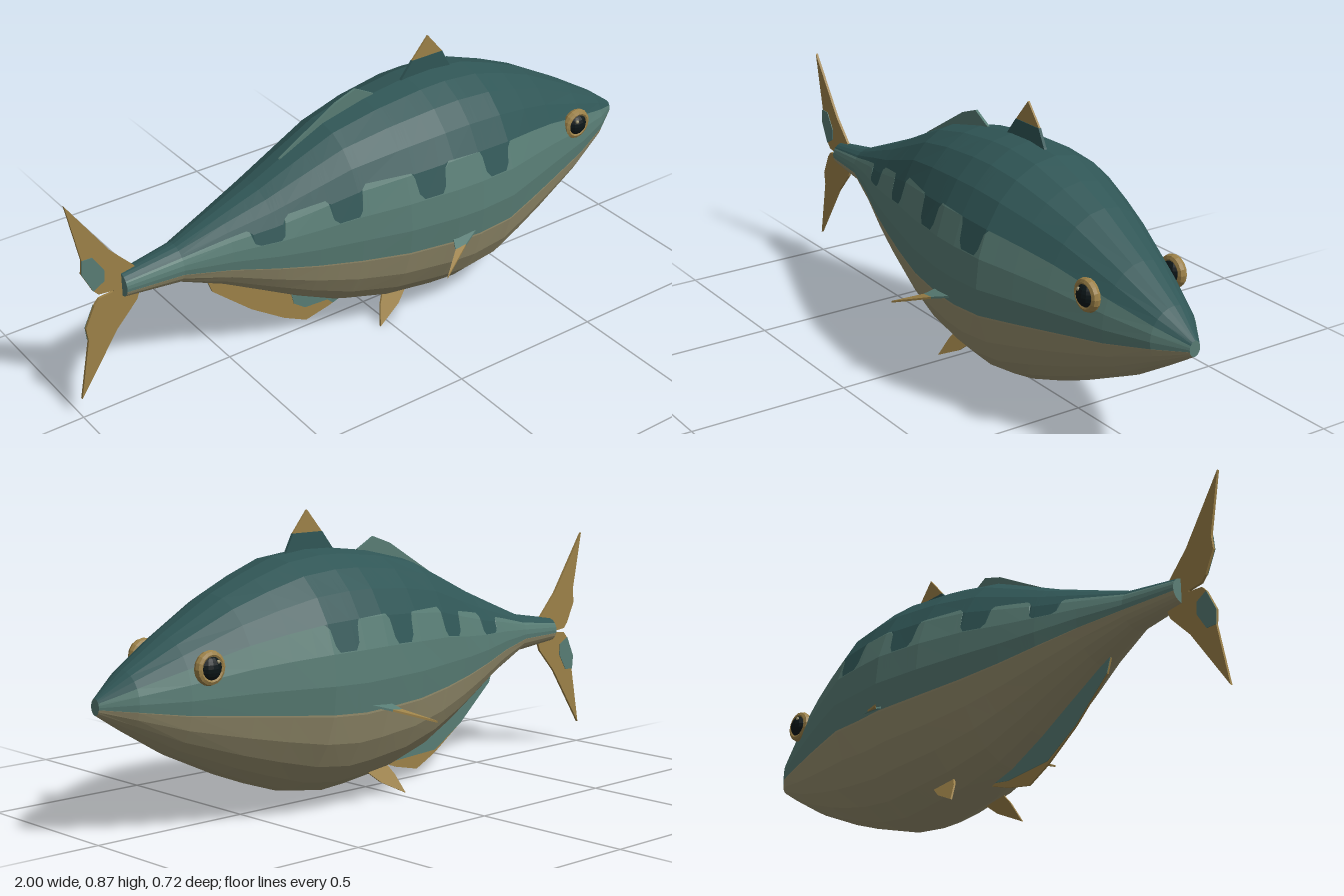
import * as THREE from 'three';

const mat = (name, color) => {
  const m = new THREE.MeshStandardMaterial({ color, flatShading: true, side: THREE.DoubleSide });
  m.name = name;
  return m;
};

// Body stations: x, top y, bottom y, half width
const RINGS = [
  [-0.845, 0.444, 0.368, 0.036], [-0.67, 0.474, 0.352, 0.058], [-0.53, 0.53, 0.292, 0.1],
  [-0.4, 0.583, 0.222, 0.143], [-0.28, 0.64, 0.156, 0.177], [-0.15, 0.7, 0.095, 0.212],
  [0, 0.735, 0.056, 0.25], [0.16, 0.755, 0.039, 0.276], [0.25, 0.757, 0.033, 0.278],
  [0.37, 0.744, 0.052, 0.273], [0.49, 0.703, 0.093, 0.235], [0.6, 0.657, 0.137, 0.198],
  [0.775, 0.56, 0.22, 0.137], [0.91, 0.476, 0.303, 0.08], [1, 0.408, 0.361, 0.018],
];

// Lower edge of the dark back, as [x, degrees from the top], with four notches
const EDGE = [[-0.845, 52], [-0.67, 52]];
for (const [c, a] of [[-0.42, 53], [-0.187, 56], [0.078, 59], [0.315, 60]]) {
  EDGE.push([c - 0.06, a], [c - 0.052, a + 3], [c - 0.045, 71], [c - 0.03, 74.5],
    [c + 0.03, 74.5], [c + 0.042, 71], [c + 0.05, a + 3], [c + 0.064, a]);
}
EDGE.push([0.42, 60], [1, 60]);
const BELLY_EDGE = 104;

// Linear lookup in a table sorted by its first column
function lookup(table, x) {
  let i = 0;
  while (i < table.length - 2 && x > table[i + 1][0]) i++;
  const a = table[i], b = table[i + 1];
  const f = THREE.MathUtils.clamp((x - a[0]) / (b[0] - a[0]), 0, 1);
  return a.map((v, k) => v + (b[k] - v) * f);
}

// Point on the 24-sided body skin
function skin(x, deg, side) {
  const [, top, bottom, w] = lookup(RINGS, x);
  const k = Math.min(11, Math.floor(deg / 15)), f = deg / 15 - k;
  const a = k * Math.PI / 12, b = (k + 1) * Math.PI / 12;
  const c = Math.cos(a) * (1 - f) + Math.cos(b) * f;
  const s = Math.sin(a) * (1 - f) + Math.sin(b) * f;
  return [x, (top + bottom) / 2 + (top - bottom) / 2 * c, side * w * s];
}

// One colour band of the skin between two angle functions of x
function bodyBand(lo, hi) {
  const xs = [...new Set([...RINGS, ...EDGE].map(r => r[0]))].sort((a, b) => a - b);
  const pos = [];
  const clampAt = (k, x) => THREE.MathUtils.clamp(k * 15, lo(x), hi(x));
  for (const side of [1, -1]) {
    for (let i = 0; i < xs.length - 1; i++) {
      for (let k = 0; k < 12; k++) {
        const [x0, x1] = [xs[i], xs[i + 1]];
        const a0 = clampAt(k, x0), b0 = clampAt(k + 1, x0);
        const a1 = clampAt(k, x1), b1 = clampAt(k + 1, x1);
        const a = skin(x0, a0, side), b = skin(x0, b0, side);
        const c = skin(x1, b1, side), d = skin(x1, a1, side);
        if (b0 - a0 > 1e-4) pos.push(...(side > 0 ? [a, b, d] : [a, d, b]).flat());
        if (b1 - a1 > 1e-4) pos.push(...(side > 0 ? [b, c, d] : [b, d, c]).flat());
      }
    }
  }
  const g = new THREE.BufferGeometry();
  g.setAttribute('position', new THREE.Float32BufferAttribute(pos, 3));
  g.computeVertexNormals();
  return g;
}

// Flat plate from an outline, occupying z0..z0+depth
function plate(points, depth, z0 = -depth / 2) {
  const shape = new THREE.Shape(points.map(p => new THREE.Vector2(...p)));
  return new THREE.ExtrudeGeometry(shape, { depth, bevelEnabled: false }).translate(0, 0, z0);
}

// Move every vertex by a rule
function bend(g, rule) {
  const p = g.attributes.position;
  for (let i = 0; i < p.count; i++) p.setXYZ(i, ...rule(p.getX(i), p.getY(i), p.getZ(i)));
  g.computeVertexNormals();
  return g;
}

export function createModel() {
  const root = new THREE.Group();
  root.name = 'fish';
  const back = mat('back teal', 0x305656);
  const flank = mat('flank teal', 0x587c74);
  const belly = mat('belly beige', 0x98906f);
  const gold = mat('fin gold', 0x9c8148);
  const dark = mat('eye black', 0x0c1618);
  const add = (name, g, m, parent = root) => {
    const mesh = new THREE.Mesh(g, m);
    mesh.name = name;
    parent.add(mesh);
    return mesh;
  };

  // Body in three colour bands, with end caps
  const edge = x => lookup(EDGE, x)[1];
  add('bodyBack', bodyBand(() => 0, edge), back);
  add('bodyFlank', bodyBand(edge, () => BELLY_EDGE), flank);
  add('bodyBelly', bodyBand(() => BELLY_EDGE, () => 180), belly);
  for (const [name, r, dir] of [['noseTip', RINGS[RINGS.length - 1], 1], ['tailStump', RINGS[0], -1]]) {
    const cap = new THREE.CircleGeometry(1, 24).rotateY(dir * Math.PI / 2);
    cap.scale(1, (r[1] - r[2]) / 2, r[3]).translate(r[0], (r[1] + r[2]) / 2, 0);
    add(name, cap, flank);
  }

  // Dorsal fins
  add('firstDorsalBase', plate([[0.12, 0.73], [0.34, 0.73], [0.32, 0.753], [0.293, 0.805], [0.18, 0.805], [0.14, 0.755]], 0.009), back);
  add('firstDorsalTip', plate([[0.18, 0.805], [0.293, 0.805], [0.238, 0.872]], 0.006), gold);
  add('secondDorsal', plate([[-0.33, 0.6], [0, 0.7], [0.035, 0.74], [-0.03, 0.775], [-0.1, 0.75], [-0.3, 0.632]], 0.008), flank);

  // Anal fin, painted differently on each side
  add('analFin', plate([[-0.57, 0.32], [-0.55, 0.262], [-0.417, 0.145], [-0.3, 0.065], [-0.22, 0.025],
    [-0.13, 0.045], [-0.02, 0.085], [-0.1, 0.18], [-0.4, 0.3]], 0.006), gold);
  add('analFinLeftPatch', plate([[-0.28, 0.17], [-0.265, 0.105], [-0.225, 0.075], [-0.14, 0.07],
    [-0.12, 0.05], [-0.02, 0.086], [-0.1, 0.18]], 0.002, 0.003), flank);
  add('analFinRightPatch', plate([[-0.57, 0.32], [-0.55, 0.263], [-0.417, 0.146], [-0.3, 0.075],
    [-0.13, 0.066], [-0.02, 0.086], [-0.1, 0.18], [-0.4, 0.3]], 0.002, -0.005), flank);

  // Tail fin: two mirrored lobes, a patch on the left of one and the right of the other
  const lobe = [[-0.78, 0.4], [-0.8, 0.452], [-0.87, 0.527], [-1, 0.72], [-0.963, 0.53],
    [-0.968, 0.487], [-0.936, 0.42], [-0.92, 0.402], [-0.872, 0.397]];
  const patch = [[-0.964, 0.531], [-0.93, 0.53], [-0.897, 0.476], [-0.9, 0.44], [-0.936, 0.42], [-0.968, 0.487]];
  const flip = pts => pts.map(([x, y]) => [x, 0.79 - y]);
  add('tailUpperLobe', plate(lobe, 0.008), gold);
  add('tailLowerLobe', plate(flip(lobe), 0.008), gold);
  add('tailRoot', plate([[-0.78, 0.37], [-0.78, 0.42], [-0.872, 0.42], [-0.872, 0.37]], 0.008), gold);
  add('tailLeftPatch', plate(patch, 0.002, 0.004), flank);
  add('tailRightPatch', plate(flip(patch), 0.002, -0.006), flank);

  for (const side of [1, -1]) {
    const tag = side > 0 ? 'left' : 'right';

    // Pectoral fins slope outwards and back
    const pectoral = pts => bend(
      plate(pts.map(([x, z]) => [x, z * side]), 0.006).rotateX(Math.PI / 2),
      (x, y, z) => [x, y + 0.325 - 0.45 * (Math.abs(z) - 0.27) + 0.1 * (x - 0.25), z]);
    add(tag + 'PectoralBase', pectoral([[0.26, 0.255], [0.15, 0.255], [0.13, 0.295], [0.17, 0.295]]), flank);
    add(tag + 'PectoralTip', pectoral([[0.17, 0.295], [0.13, 0.295], [0.05, 0.358]]), gold);

    // Pelvic fins hang below the belly
    add(tag + 'PelvicFin', bend(
      plate([[-0.035, 0.002], [-0.015, 0.06], [0.01, 0.1], [0.1, 0.1], [0.09, 0.08], [0.05, 0.045]], 0.006),
      (x, y, z) => [x, y, z + side * (0.14 - 0.5 * y)]), gold);

    // Eyes: gold rim around a dark dome
    const eye = new THREE.Group();
    eye.name = tag + 'Eye';
    eye.position.set(0.725, 0.478, side * 0.15);
    add('eyeRim', new THREE.TorusGeometry(0.038, 0.012, 8, 16).scale(1, 1, 1.2), gold, eye);
    add('eyeDome', new THREE.SphereGeometry(0.036, 14, 10).scale(1, 1, 0.8), dark, eye);
    add('eyeGlint', new THREE.SphereGeometry(0.006, 8, 6).translate(-0.013, 0.018, side * 0.021), belly, eye);
    root.add(eye);
  }
  return root;
}
